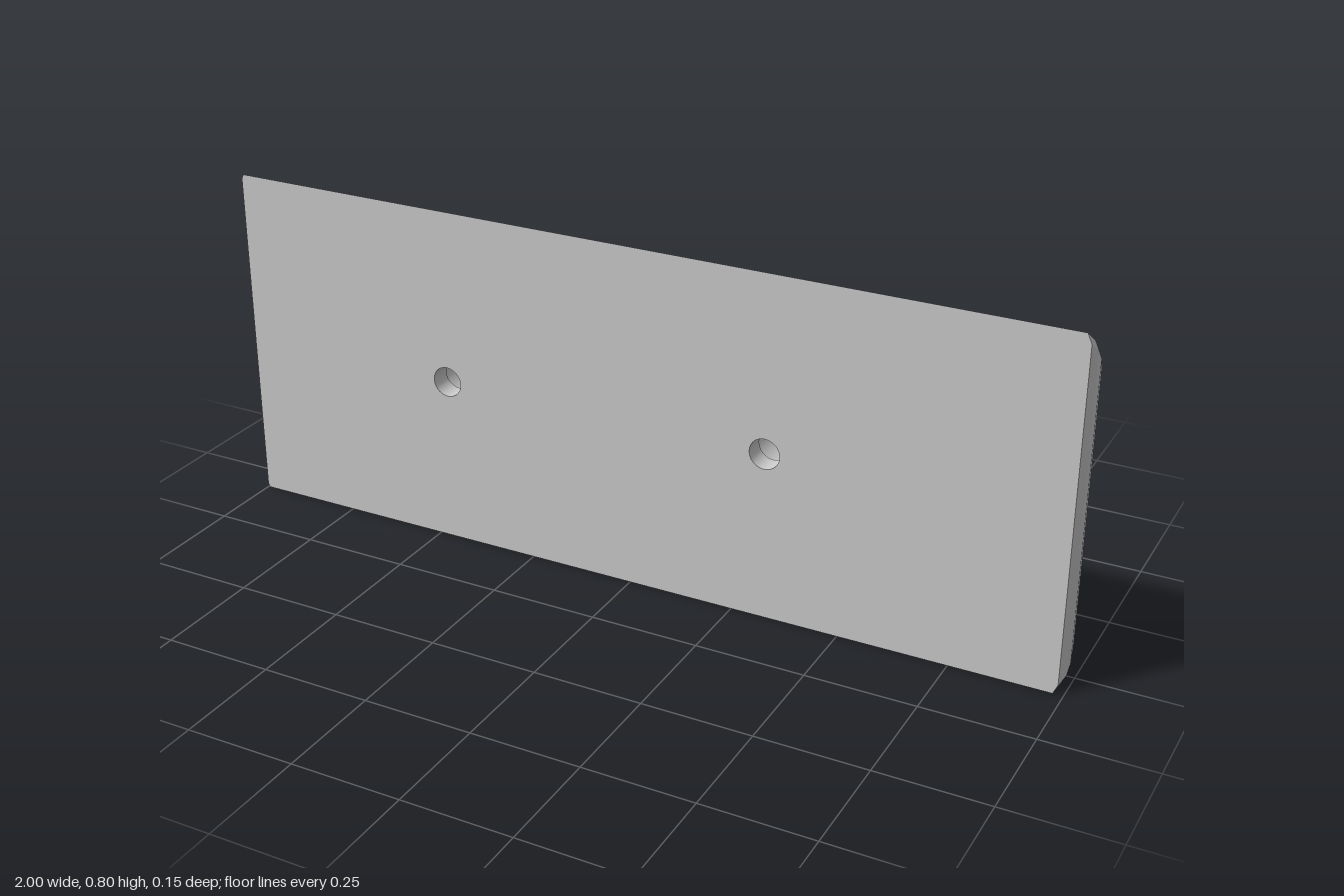
import * as THREE from 'three';
import { toCreasedNormals } from 'three/addons/utils/BufferGeometryUtils.js';

// Sections from the flat front to the back: z, half height, -x end, +x end
const SECTIONS = [
  [0.077, 0.4, -1, 0.987], [0.06, 0.38, -0.995, 0.998], [0.045, 0.358, -0.985, 1],
  [0.02, 0.325, -0.968, 0.996], [0, 0.298, -0.953, 0.989], [-0.02, 0.271, -0.93, 0.978],
  [-0.043, 0.239, -0.9, 0.954], [-0.055, 0.22, -0.88, 0.937], [-0.065, 0.201, -0.862, 0.918],
  [-0.072, 0.183, -0.845, 0.901], [-0.076, 0.166, -0.825, 0.88], [-0.077, 0.15, -0.805, 0.86],
];
const MID_Y = 0.4, HOLE_Y = 0.393, HOLES_X = [-0.465, 0.32];
const FRONT = 0.077, BACK = -0.077, LEDGE = 0.027;
const BORE = 0.035, COUNTERBORE = 0.066;

// Rectangle with small cut corners, counter-clockwise seen from the front
function outline([, h, l, r], i) {
  const k = 1 - i / (SECTIONS.length - 1);
  const a = 0.005 * k, b = 0.01 * k, c = 0.01 * k, d = 0.022 * k;
  return [
    [l + a, -h], [r - c, -h], [r, -h + d], [r, h - d],
    [r - c, h], [l + a, h], [l, h - b], [l, -h + b],
  ].map(([x, y]) => new THREE.Vector2(x, y + MID_Y));
}

// Shaped rim lofted through all sections
function rimGeometry() {
  const pos = [];
  const loops = SECTIONS.map((s, i) => outline(s, i).map((p) => [p.x, p.y, s[0]]));
  for (let i = 0; i < loops.length - 1; i++) {
    for (let j = 0; j < 8; j++) {
      const n = (j + 1) % 8;
      const a = loops[i][j], b = loops[i][n], c = loops[i + 1][n], d = loops[i + 1][j];
      pos.push(...a, ...d, ...b, ...b, ...d, ...c);
    }
  }
  const g = new THREE.BufferGeometry();
  g.setAttribute('position', new THREE.Float32BufferAttribute(pos, 3));
  return toCreasedNormals(g, 0.5);
}

// Flat face pierced by the two holes
function faceGeometry(index, radius) {
  const shape = new THREE.Shape(outline(SECTIONS[index], index));
  for (const x of HOLES_X) {
    shape.holes.push(new THREE.Path().absarc(x, HOLE_Y, radius, 0, Math.PI * 2, true));
  }
  return new THREE.ShapeGeometry(shape, 24);
}

export function createModel() {
  const group = new THREE.Group();
  group.name = 'mountingPlate';
  const mat = new THREE.MeshStandardMaterial({ color: 0xcccccc });
  const thin = new THREE.MeshStandardMaterial({ color: 0xcccccc, side: THREE.DoubleSide });
  const inner = new THREE.MeshStandardMaterial({ color: 0xcccccc, side: THREE.BackSide });
  const add = (name, geometry, material = mat) => {
    const mesh = new THREE.Mesh(geometry, material);
    mesh.name = name;
    group.add(mesh);
    return mesh;
  };

  add('shapedRim', rimGeometry());
  add('frontFace', faceGeometry(0, BORE)).position.z = FRONT;
  const back = faceGeometry(SECTIONS.length - 1, COUNTERBORE);
  add('backFace', back, thin).position.z = BACK;

  // Counterbored screw holes, wide at the back
  const wall = (r, z0, z1) =>
    new THREE.CylinderGeometry(r, r, z1 - z0, 48, 1, true).rotateX(Math.PI / 2).translate(0, 0, (z0 + z1) / 2);
  for (const x of HOLES_X) {
    add('screwBore', wall(BORE, LEDGE, FRONT), inner).position.set(x, HOLE_Y, 0);
    add('counterbore', wall(COUNTERBORE, BACK, LEDGE), inner).position.set(x, HOLE_Y, 0);
    const ledge = new THREE.RingGeometry(BORE, COUNTERBORE, 48).rotateY(Math.PI);
    add('screwLedge', ledge).position.set(x, HOLE_Y, LEDGE);
  }
  return group;
}
